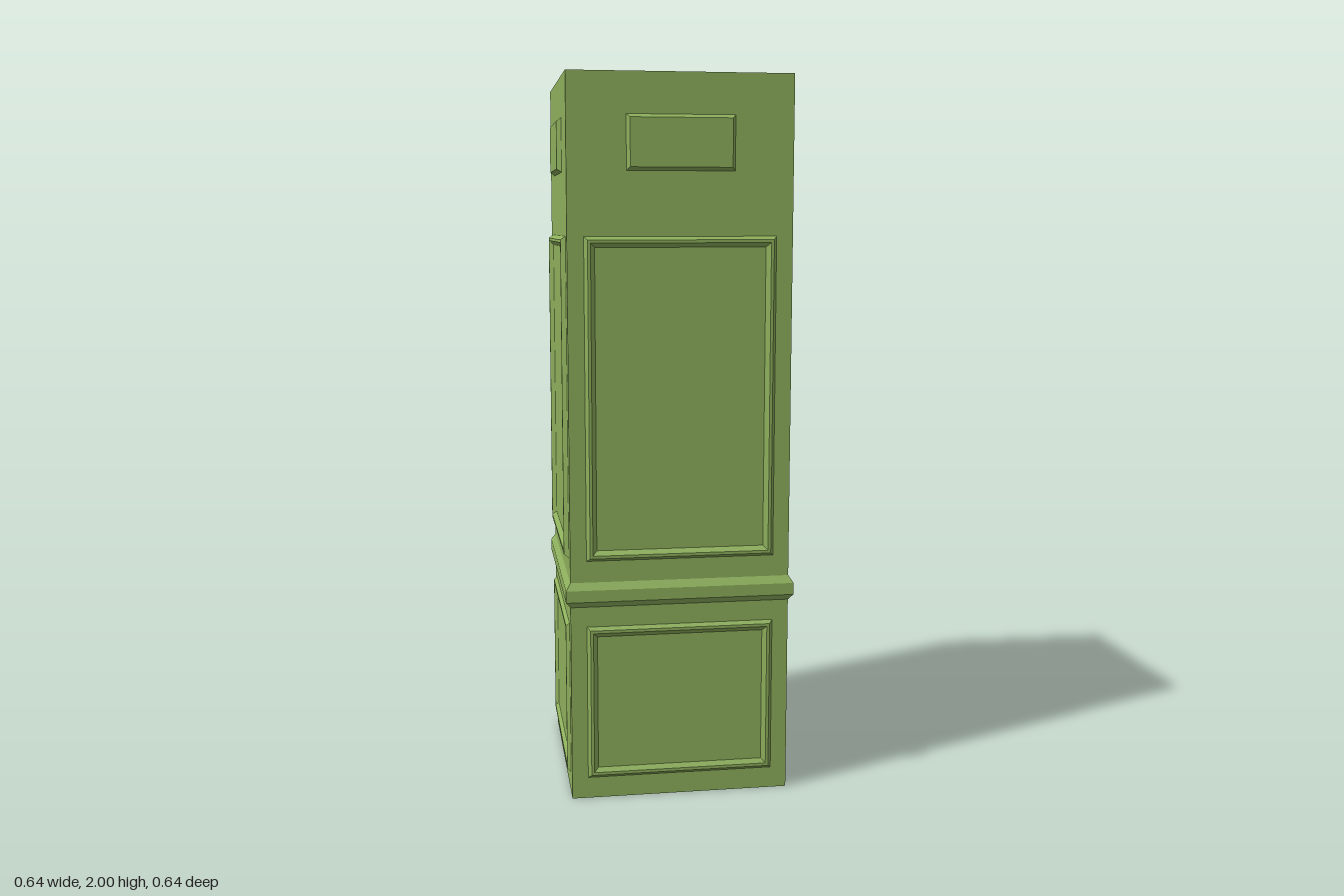
import * as THREE from 'three';

// Joins rectangular rings [halfWidth, halfHeight, depth along z] into a flat-faced strip
function loftRings(rings, capped = false) {
  const corners = ([w, h, d]) => [[-w, -h, d], [w, -h, d], [w, h, d], [-w, h, d]];
  const pos = [];
  const quad = (a, b, c, d) => pos.push(...a, ...b, ...c, ...a, ...c, ...d);
  for (let r = 0; r < rings.length - 1; r++) {
    const p = corners(rings[r]), q = corners(rings[r + 1]);
    for (let i = 0; i < 4; i++) {
      const j = (i + 1) % 4;
      quad(p[i], p[j], q[j], q[i]);
    }
  }
  if (capped) quad(...corners(rings[rings.length - 1]));
  const geo = new THREE.BufferGeometry();
  geo.setAttribute('position', new THREE.Float32BufferAttribute(pos, 3));
  geo.computeVertexNormals();
  return geo;
}

// Raised moulding given as [inset, depth] steps from its outer edge
function moulding(halfWidth, y0, y1, steps, capped) {
  const h = (y1 - y0) / 2;
  const geo = loftRings(steps.map(([s, d]) => [halfWidth - s, h - s, d]), capped);
  return geo.translate(0, (y0 + y1) / 2, 0);
}

export function createModel() {
  const group = new THREE.Group();
  group.name = 'panelledColumn';
  const green = new THREE.MeshStandardMaterial({ color: 0x8eb05c });
  green.name = 'leafGreen';
  const half = 0.307;

  const add = (parent, geo, name) => {
    const mesh = new THREE.Mesh(geo, green);
    mesh.name = name;
    parent.add(mesh);
  };

  // Square shaft
  add(group, new THREE.BoxGeometry(half * 2, 2, half * 2).translate(0, 1, 0), 'shaft');

  // Chamfered belt around the shaft
  const belt = [[half, 0.555], [0.32, 0.572], [0.32, 0.605], [half, 0.625]];
  add(group, loftRings(belt.map(([w, y]) => [w, w, y])).rotateX(-Math.PI / 2), 'beltMoulding');

  // Two panel frames and a small plaque on every side
  const frame = (depth) => [[0, 0], [0.009, depth], [0.017, depth], [0.029, 0]];
  const upper = moulding(0.262, 0.685, 1.57, frame(0.013));
  const lower = moulding(0.262, 0.06, 0.498, frame(0.01));
  const plaque = moulding(0.147, 1.743, 1.89, [[0, 0], [0.009, 0.013]], true);
  ['front', 'left', 'back', 'right'].forEach((name, i) => {
    const side = new THREE.Group();
    side.name = name + 'Side';
    side.rotation.y = i * Math.PI / 2;
    group.add(side);
    add(side, upper.clone().translate(0, 0, half), 'upperPanelFrame');
    add(side, lower.clone().translate(0, 0, half), 'lowerPanelFrame');
    add(side, plaque.clone().translate(0, 0, half), 'plaque');
  });

  return group;
}
